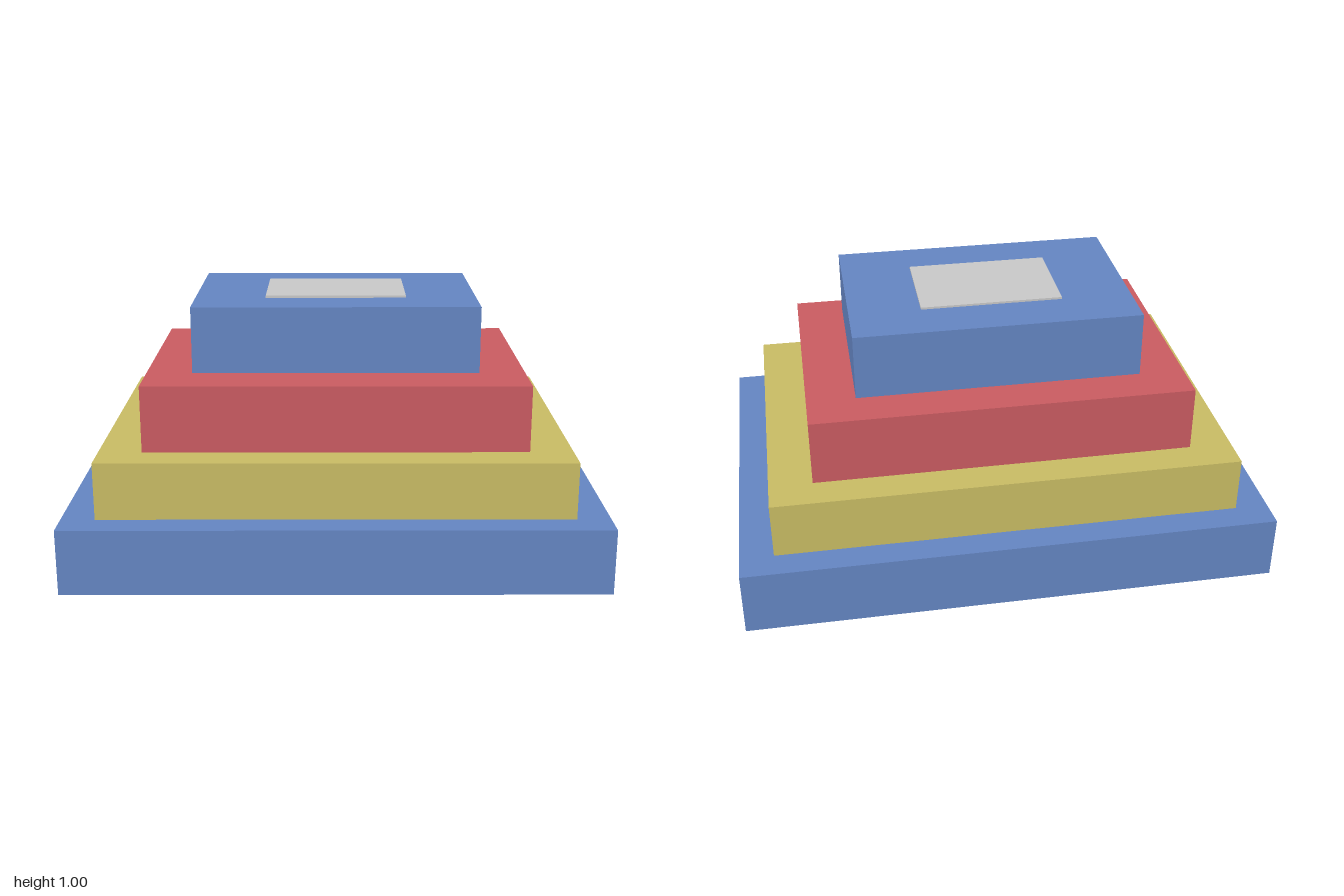
import * as THREE from 'three';

const material = (name, color) => {
  const m = new THREE.MeshStandardMaterial({ color });
  m.name = name;
  return m;
};

export function createModel() {
  const blue = material('blue', 0x6485c2);
  const yellow = material('yellow', 0xc8bb64);
  const red = material('red', 0xc95b61);
  const grey = material('grey', 0xc8c8c8);

  const group = new THREE.Group();
  group.name = 'steppedBlocks';

  // A centred block spanning two heights
  const block = (name, mat, width, depth, bottom, top) => {
    const mesh = new THREE.Mesh(new THREE.BoxGeometry(width, top - bottom, depth), mat);
    mesh.position.y = (bottom + top) / 2;
    mesh.name = name;
    group.add(mesh);
  };

  // Four stacked tiers
  block('baseTier', blue, 2, 1.428, 0.012, 0.26);
  block('secondTier', yellow, 1.75, 1.215, 0.26, 0.475);
  block('thirdTier', red, 1.428, 0.962, 0.475, 0.726);
  block('topTier', blue, 1.066, 0.714, 0.744, 0.992);

  // Thin contact pads on the tiers
  block('basePad', grey, 1, 0.714, 0, 0.012);
  block('thirdTierPad', grey, 0.714, 0.48, 0.726, 0.735);
  block('topTierLowerPad', grey, 0.532, 0.358, 0.735, 0.744);
  block('topTierUpperPad', grey, 0.532, 0.358, 0.992, 1);

  return group;
}
